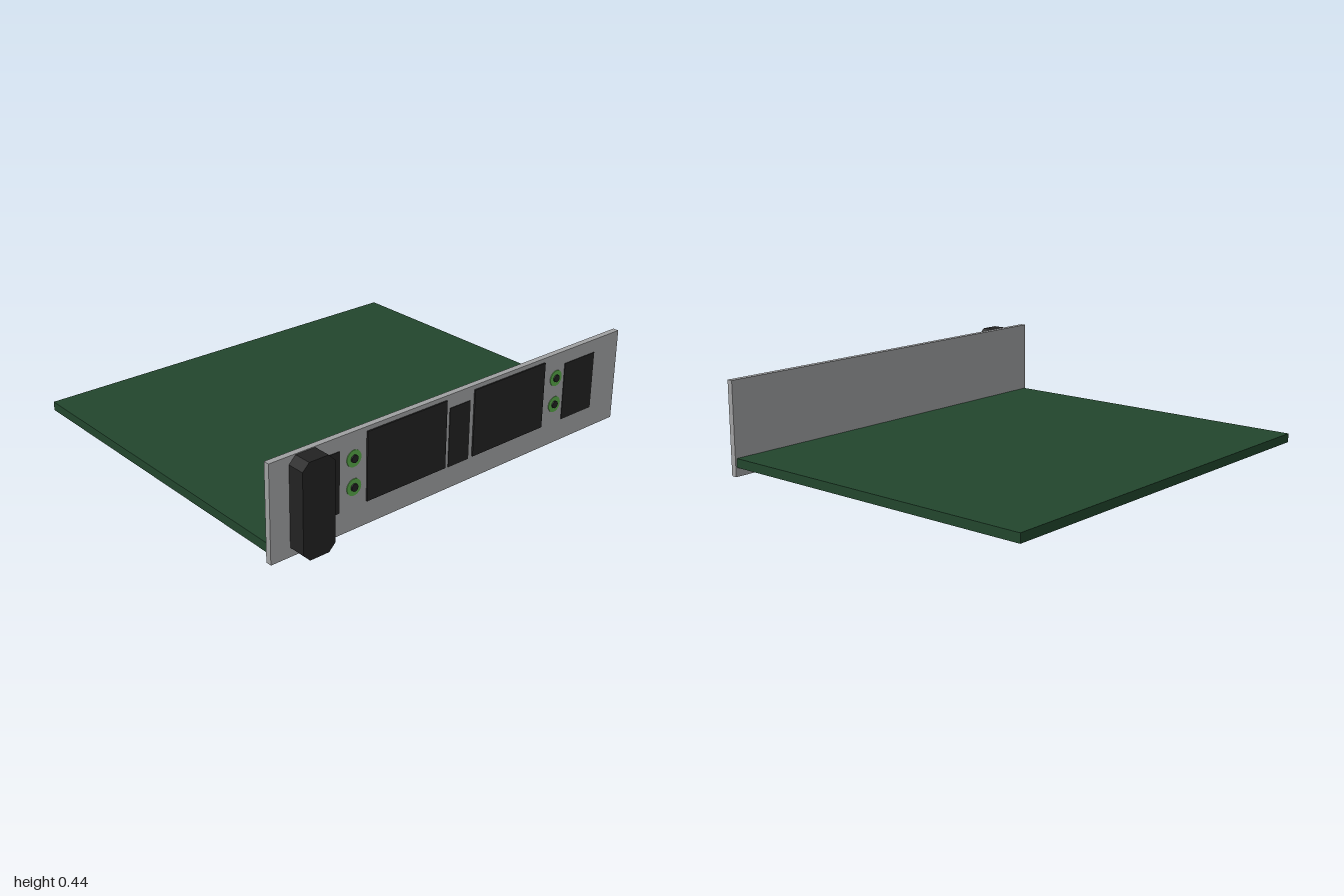
import * as THREE from 'three';

const material = (name, color) => {
  const m = new THREE.MeshStandardMaterial({ color });
  m.name = name;
  return m;
};

export function createModel() {
  const group = new THREE.Group();
  const grey = material('panel grey', 0xa0a1a2);
  const black = material('black', 0x222222);
  const boardGreen = material('board green', 0x22462d);
  const ringGreen = material('ring green', 0x58a848);

  const add = (name, geometry, mat) => {
    const mesh = new THREE.Mesh(geometry, mat);
    mesh.name = name;
    group.add(mesh);
    return mesh;
  };

  // Box given by its minimum and maximum on each axis
  const box = (name, mat, x0, x1, y0, y1, z0, z1) =>
    add(name, new THREE.BoxGeometry(x1 - x0, y1 - y0, z1 - z0), mat)
      .position.set((x0 + x1) / 2, (y0 + y1) / 2, (z0 + z1) / 2);

  const front = 0.79;
  box('frontPanel', grey, -1, 1, 0, 0.437, 0.762, front);
  box('circuitBoard', boardGreen, -0.995, 0.992, 0.042, 0.084, -0.871, 0.762);

  // Connector openings: two large plates and three lower ones
  for (const [x0, x1] of [[-0.52, -0.088], [0.073, 0.505]])
    box('largeConnector', black, x0, x1, 0.107, 0.417, front, front + 0.007);
  for (const [x0, x1] of [[-0.708, -0.66], [-0.067, 0.051], [0.64, 0.837]])
    box('smallConnector', black, x0, x1, 0.102, 0.375, front, front + 0.003);

  // Handle with chamfered corners
  const [l, r, b, t, c] = [-0.905, -0.747, 0.01, 0.433, 0.032];
  const outline = new THREE.Shape([
    [l + c, b], [r - c, b], [r, b + c], [r, t - c],
    [r - c, t], [l + c, t], [l, t - c], [l, b + c],
  ].map(([x, y]) => new THREE.Vector2(x, y)));
  add('handle', new THREE.ExtrudeGeometry(outline, { depth: 0.081, bevelEnabled: false }), black)
    .position.z = front;

  // Indicator lights: green ring around a dark centre
  const disc = (name, mat, radius, depth, x, y) => {
    const geometry = new THREE.CylinderGeometry(radius, radius, depth, 32).rotateX(Math.PI / 2);
    add(name, geometry, mat).position.set(x, y, front + depth / 2);
  };
  for (const x of [-0.586, 0.586])
    for (const y of [0.193, 0.32]) {
      disc('lightRing', ringGreen, 0.037, 0.003, x, y);
      disc('lightCentre', black, 0.017, 0.009, x, y);
    }

  return group;
}
